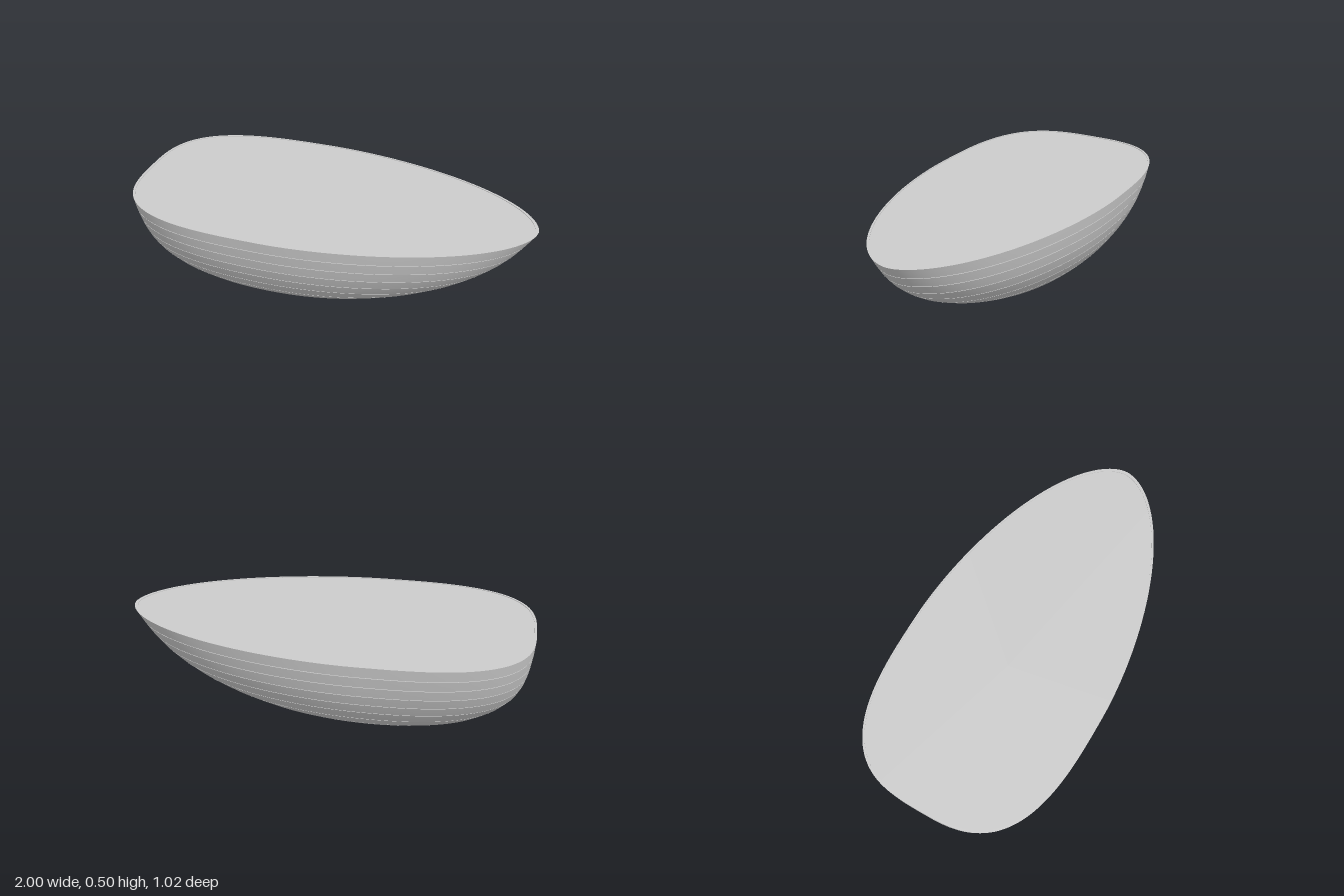
import * as THREE from 'three';

const H = 0.5, SEG = 128, LAYERS = 9, GAP = 0.003;
const FIRST = 0.046, STEP = (H - FIRST) / (LAYERS - 1);

// Hull sections: height, stern x, bow x, half width
const sections = [
  [0, -0.24, -0.24, 0],
  [0.047, -0.63, 0.22, 0.232],
  [0.104, -0.815, 0.445, 0.325],
  [0.16, -0.89, 0.59, 0.382],
  [0.217, -0.94, 0.705, 0.421],
  [0.272, -0.965, 0.79, 0.45],
  [0.33, -0.98, 0.862, 0.474],
  [0.386, -0.989, 0.916, 0.49],
  [0.443, -0.996, 0.96, 0.503],
  [0.5, -1, 1, 0.512],
];

// Interpolates the sections over the square root of height, so the keel is round
function sectionAt(y) {
  let i = 1;
  while (i < sections.length - 1 && sections[i][0] < y) i++;
  const a = sections[i - 1], b = sections[i];
  const t = (Math.sqrt(y) - Math.sqrt(a[0])) / (Math.sqrt(b[0]) - Math.sqrt(a[0]));
  return a.map((v, k) => THREE.MathUtils.lerp(v, b[k], t));
}

// Egg-shaped outline: blunt superellipse at the stern, slightly pointed at the bow
function outline(y, scale = 1, atY = y) {
  const [, stern, bow, width] = sectionAt(y);
  const k = y / H, cx = THREE.MathUtils.lerp(-0.24, -0.2, k);
  const points = [];
  for (let i = 0; i < SEG; i++) {
    const angle = (i / SEG) * Math.PI * 2;
    const c = Math.cos(angle), s = Math.sin(angle);
    const p = c > 0 ? THREE.MathUtils.lerp(2, 1.8, k) : THREE.MathUtils.lerp(2.1, 3.05, k);
    const reach = c > 0 ? bow - cx : stern - cx;
    points.push([
      cx + scale * reach * Math.pow(Math.abs(c), 2 / p),
      atY,
      scale * width * Math.sign(s) * Math.pow(Math.abs(s), 2 / p),
    ]);
  }
  return points;
}

// Joins strips of rings; each strip is smooth, with hard edges between strips
function solidFromStrips(strips) {
  const position = [], index = [];
  for (const rings of strips) {
    const base = position.length / 3;
    rings.forEach((ring) => ring.forEach((p) => position.push(...p)));
    for (let r = 0; r < rings.length - 1; r++) {
      for (let i = 0; i < SEG; i++) {
        const j = (i + 1) % SEG;
        const a = base + r * SEG + i, b = base + r * SEG + j;
        index.push(a, a + SEG, b, b, a + SEG, b + SEG);
      }
    }
  }
  const geometry = new THREE.BufferGeometry();
  geometry.setAttribute('position', new THREE.Float32BufferAttribute(position, 3));
  geometry.setIndex(index);
  geometry.computeVertexNormals();
  return geometry;
}

export function createModel() {
  const group = new THREE.Group();
  group.name = 'slicedHull';
  const material = new THREE.MeshStandardMaterial({ color: 0xcccccc });

  for (let n = 0; n < LAYERS; n++) {
    const y0 = n === 0 ? 0 : FIRST + (n - 1) * STEP + GAP / 2;
    const y1 = n === LAYERS - 1 ? H : FIRST + n * STEP - GAP / 2;

    // Curved side wall, with levels packed toward the keel on the lowest layer
    const levels = n === 0 ? 10 : 3;
    const side = [];
    for (let i = 0; i <= levels; i++) {
      const t = i / levels;
      side.push(outline(y0 + (y1 - y0) * (n === 0 ? t * t : t)));
    }
    const strips = [side];

    // Flat underside
    if (n > 0) strips.push([outline(y0, 0), outline(y0)]);

    if (n < LAYERS - 1) {
      // Flat top
      strips.push([outline(y1), outline(y1, 0)]);
    } else {
      // Thin rim around a slightly sunken deck
      const deck = H - 0.003, inset = 0.986;
      strips.push([outline(H), outline(H, inset)]);
      strips.push([outline(H, inset), outline(H, inset, deck)]);
      strips.push([outline(H, inset, deck), outline(H, 0, deck)]);
    }

    const layer = new THREE.Mesh(solidFromStrips(strips), material);
    layer.name = n === 0 ? 'keelLayer' : n === LAYERS - 1 ? 'deckLayer' : `hullLayer${n}`;
    group.add(layer);
  }
  return group;
}
